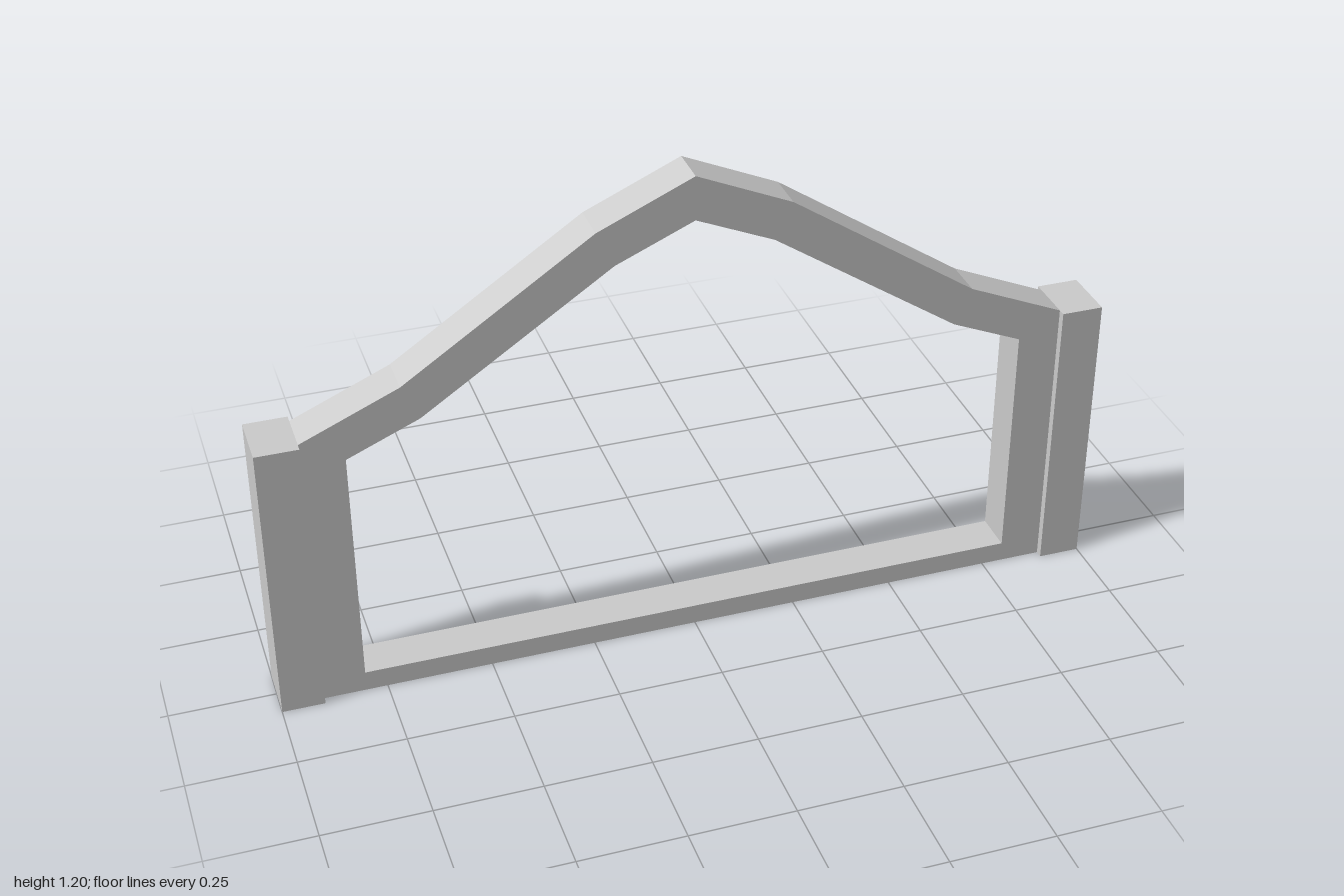
import * as THREE from 'three';

// Closed outline, symmetric about x = 0, from the points of its +x half (bottom to peak)
function mirrored(half, Type) {
  const left = half.filter(([x]) => x > 0).reverse().map(([x, y]) => [-x, y]);
  return new Type([...half, ...left].map(([x, y]) => new THREE.Vector2(x, y)));
}

export function createModel() {
  const group = new THREE.Group();
  const material = new THREE.MeshStandardMaterial({ color: 0xcccccc, flatShading: true });

  // Gabled frame: sill, jambs and bent roof beams around one opening
  const depth = 0.1;
  const outline = mirrored([[0.9, 0], [0.9, 0.7], [0.67, 0.8], [0.225, 1.1], [0, 1.2]], THREE.Shape);
  outline.holes.push(
    mirrored([[0.8, 0.05], [0.8, 0.64], [0.63, 0.713], [0.184, 1.013], [0, 1.093]], THREE.Path)
  );
  const frameGeometry = new THREE.ExtrudeGeometry(outline, { depth, bevelEnabled: false });
  frameGeometry.translate(0, 0, -depth / 2);
  const frame = new THREE.Mesh(frameGeometry, material);
  frame.name = 'gabledFrame';
  group.add(frame);

  // Thicker posts flanking the frame
  for (const side of [1, -1]) {
    const post = new THREE.Mesh(new THREE.BoxGeometry(0.1, 0.7, 0.137), material);
    post.position.set(side * 0.95, 0.35, 0);
    post.name = side > 0 ? 'leftPost' : 'rightPost';
    group.add(post);
  }

  return group;
}
